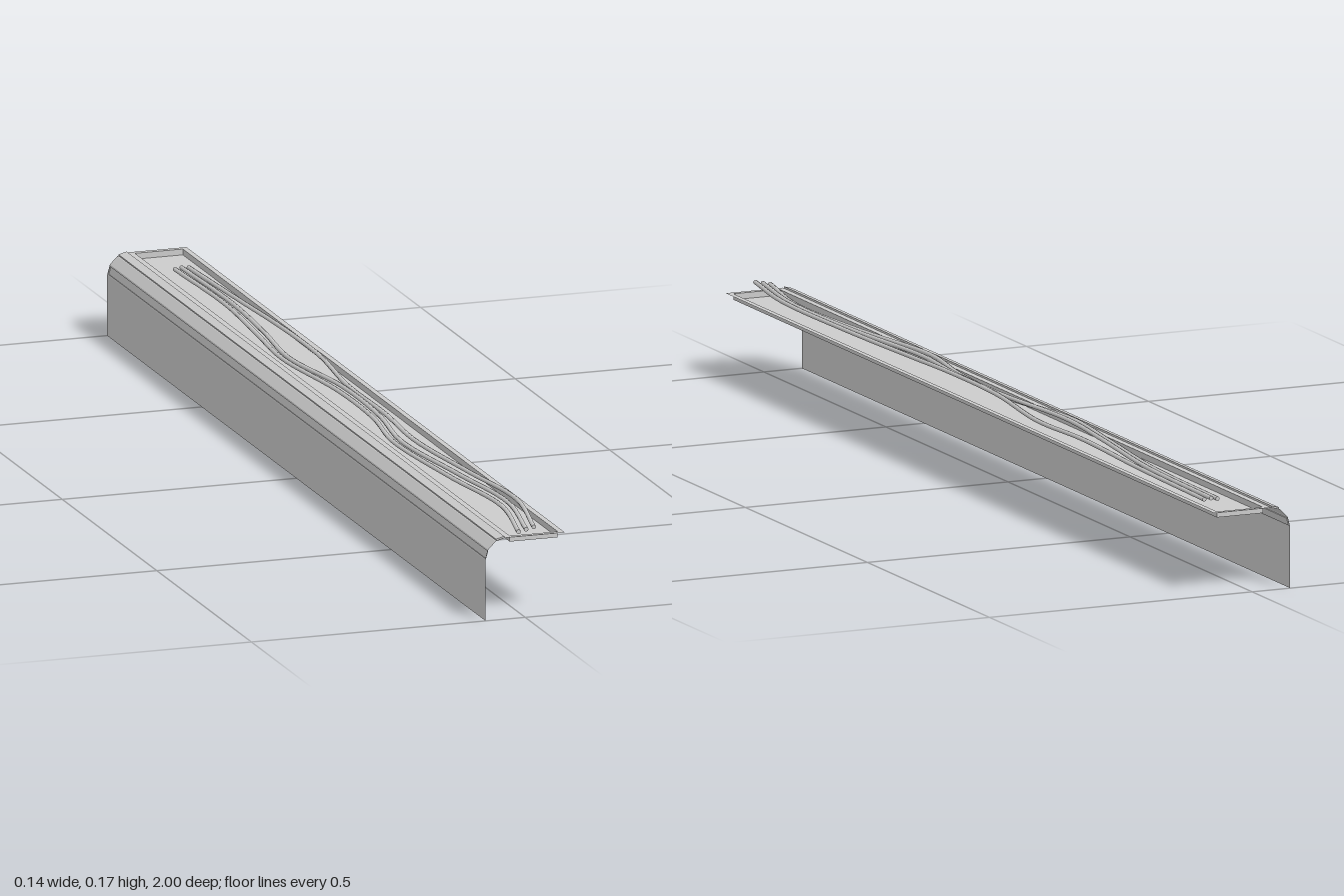
import * as THREE from 'three';

const sheet = new THREE.MeshStandardMaterial({ color: 0xcccccc, flatShading: true, side: THREE.DoubleSide });
const rubber = new THREE.MeshStandardMaterial({ color: 0xcccccc, side: THREE.DoubleSide });

// Strip of sheet from profile point a to b along z, with an inset panel
// pushed along the outward normal by depth (inset 0 gives a plain strip).
function panel(name, a, b, inset = 0, depth = 0) {
  const u = b.clone().sub(a).normalize();
  const n = new THREE.Vector2(-u.y, u.x);
  const loop = (m, d) => {
    const p = a.clone().addScaledVector(u, m).addScaledVector(n, d);
    const q = b.clone().addScaledVector(u, -m).addScaledVector(n, d);
    const z = 1 - m;
    return [[p.x, p.y, z], [q.x, q.y, z], [q.x, q.y, -z], [p.x, p.y, -z]];
  };
  const pos = [];
  const quad = (p, q, r, s) => pos.push(...p, ...q, ...r, ...p, ...r, ...s);
  const loops = inset ? [loop(0, 0), loop(inset, 0), loop(inset, depth)] : [loop(0, 0)];
  for (let i = 0; i + 1 < loops.length; i++) {
    for (let k = 0; k < 4; k++) {
      const m = (k + 1) % 4;
      quad(loops[i][k], loops[i][m], loops[i + 1][m], loops[i + 1][k]);
    }
  }
  quad(...loops[loops.length - 1]);
  const geo = new THREE.BufferGeometry();
  geo.setAttribute('position', new THREE.Float32BufferAttribute(pos, 3));
  geo.computeVertexNormals();
  const mesh = new THREE.Mesh(geo, sheet);
  mesh.name = name;
  return mesh;
}

// Round cable through [x, y, z] points, closed at both ends
function cable(name, points) {
  const group = new THREE.Group();
  group.name = name;
  const r = 0.004;
  const curve = new THREE.CatmullRomCurve3(points.map(p => new THREE.Vector3(...p)));
  group.add(new THREE.Mesh(new THREE.TubeGeometry(curve, 64, r, 8), rubber));
  for (const t of [0, 1]) {
    const cap = new THREE.Mesh(new THREE.CircleGeometry(r, 8), rubber);
    const end = curve.getPoint(t);
    cap.position.copy(end);
    cap.lookAt(end.clone().addScaledVector(curve.getTangent(t), t ? 1 : -1));
    group.add(cap);
  }
  return group;
}

export function createModel() {
  const model = new THREE.Group();
  model.name = 'cableTray';

  // Rounded bend in three facets between skirt and top
  const R = 0.0375, cx = -0.035, cy = 0.108;
  const bend = [180, 150, 120, 90].map(d => {
    const t = THREE.MathUtils.degToRad(d);
    return new THREE.Vector2(cx + R * Math.cos(t), cy + R * Math.sin(t));
  });
  model.add(panel('skirt', new THREE.Vector2(cx - R, 0), bend[0]));
  model.add(panel('groovedBend', bend[0], bend[1], 0.003, -0.0015));
  model.add(panel('plainBend', bend[1], bend[2]));
  model.add(panel('ridgedBend', bend[2], bend[3], 0.002, 0.003));

  // Top with a sunken pan
  model.add(panel('topPan', bend[3], new THREE.Vector2(0.0725, cy + R), 0.01, -0.0105));

  // Three loose cables winding along the pan
  const z = [-0.88, -0.62, -0.4, -0.22, 0, 0.2, 0.36, 0.6, 0.82, 1];
  const xs = {
    rightCable: [0.010, 0.012, -0.006, -0.020, 0.004, 0, -0.020, 0, 0.018, -0.012],
    middleCable: [0.022, 0.023, 0.006, -0.009, 0.013, 0.011, -0.005, 0.016, 0.030, 0.002],
    leftCable: [0.035, 0.040, 0.042, 0.045, 0.022, 0.021, 0.018, 0.034, 0.046, 0.016],
  };
  const ys = {
    rightCable: [0.142, 0.146, 0.150, 0.152, 0.150, 0.152, 0.153, 0.150, 0.153, 0.154],
    middleCable: [0.144, 0.148, 0.153, 0.153, 0.156, 0.155, 0.152, 0.153, 0.158, 0.157],
    leftCable: [0.143, 0.149, 0.156, 0.154, 0.157, 0.158, 0.153, 0.156, 0.162, 0.160],
  };
  for (const name of Object.keys(xs)) {
    model.add(cable(name, z.map((v, i) => [xs[name][i], ys[name][i], v])));
  }
  return model;
}
